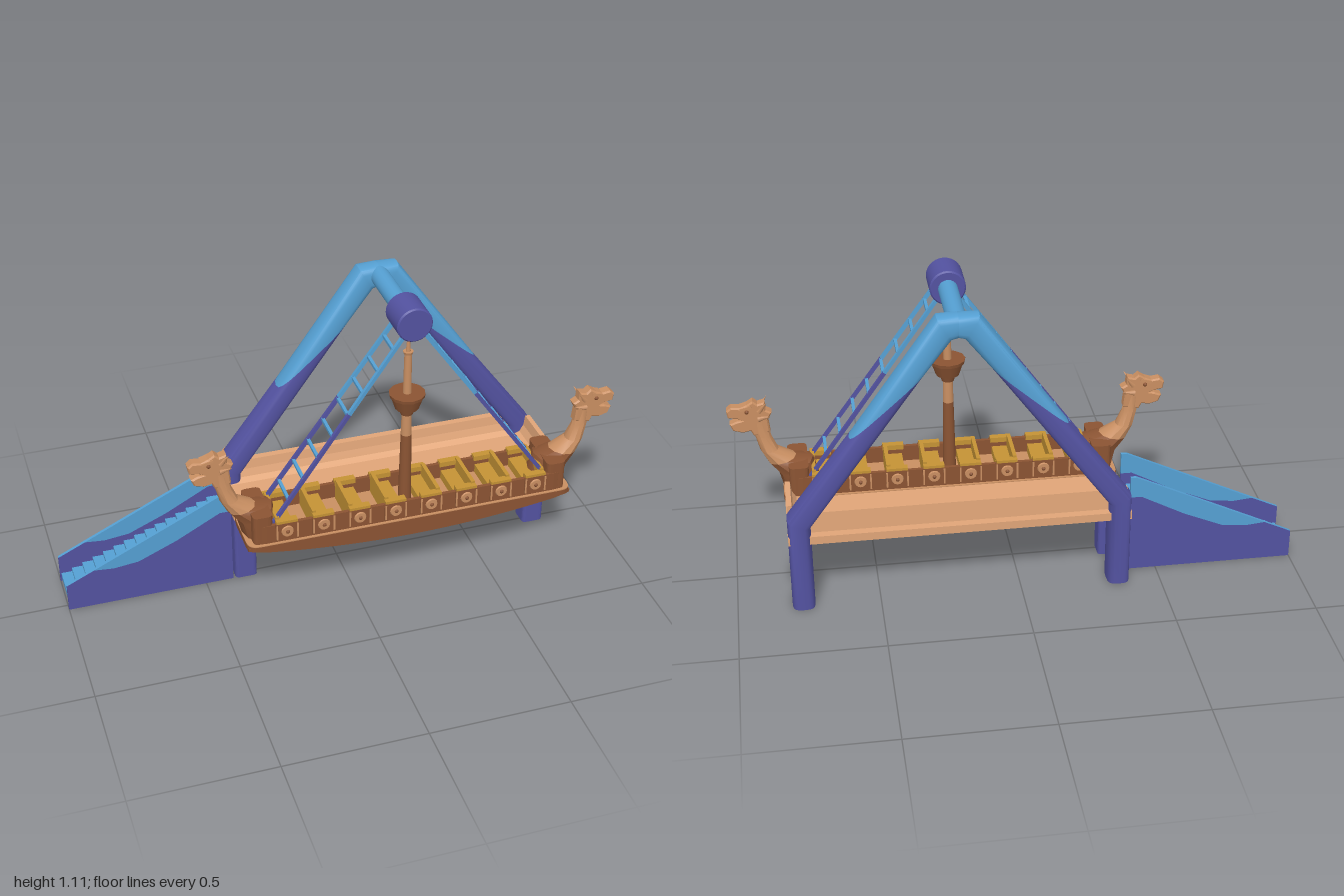
import * as THREE from 'three';
import { toCreasedNormals } from 'three/addons/utils/BufferGeometryUtils.js';

const mat = (name, color) => Object.assign(new THREE.MeshStandardMaterial({ color }), { name });

export function createModel() {
  const wood = mat('dark wood', 0x8b5433), tan = mat('tan wood', 0xc98f62), gold = mat('gold seats', 0xc59335);
  const boards = mat('pale boards', 0xe0a578), blue = mat('sky blue', 0x55a0d3), purple = mat('violet', 0x5352a0);
  const V = (x, y, z) => new THREE.Vector3(x, y, z);
  const root = new THREE.Group();
  root.name = 'swingingShipRide';

  const add = (parent, name, geo, material, x = 0, y = 0, z = 0) => {
    const m = new THREE.Mesh(geo, material);
    m.name = name;
    m.position.set(x, y, z);
    parent.add(m);
    return m;
  };
  const group = (parent, name, x = 0, y = 0, z = 0) => {
    const g = new THREE.Group();
    g.name = name;
    g.position.set(x, y, z);
    parent.add(g);
    return g;
  };
  // box given by its limits
  const box = (parent, name, material, x0, x1, y0, y1, z0, z1) =>
    add(parent, name, new THREE.BoxGeometry(x1 - x0, y1 - y0, z1 - z0), material, (x0 + x1) / 2, (y0 + y1) / 2, (z0 + z1) / 2);
  const poly = pts => new THREE.Shape(pts.map(p => new THREE.Vector2(p[0], p[1])));
  const extrude = (shape, depth, opts = {}) => new THREE.ExtrudeGeometry(shape, { depth, bevelEnabled: false, curveSegments: 5, ...opts });
  // straight beam between two points
  const beam = (parent, name, a, b, t, material) => {
    const m = add(parent, name, new THREE.BoxGeometry(t, a.distanceTo(b), t), material);
    m.position.copy(a).lerp(b, 0.5);
    m.quaternion.setFromUnitVectors(V(0, 1, 0), b.clone().sub(a).normalize());
    return m;
  };
  // capped skin through cross-section rings, wound outward
  const loft = (rings, crease = 0.6) => {
    const n = rings[0].length, tris = [];
    for (let r = 0; r < rings.length - 1; r++) for (let i = 0; i < n; i++) {
      const j = (i + 1) % n, a = rings[r], b = rings[r + 1];
      tris.push([a[i], a[j], b[j]], [a[i], b[j], b[i]]);
    }
    const first = rings[0], last = rings[rings.length - 1];
    for (let i = 1; i < n - 1; i++) tris.push([first[0], first[i + 1], first[i]], [last[0], last[i], last[i + 1]]);
    const volume = tris.reduce((s, t) => s + t[0].dot(t[1].clone().cross(t[2])), 0);
    if (volume < 0) tris.forEach(t => t.reverse());
    const g = new THREE.BufferGeometry().setFromPoints(tris.flat());
    return toCreasedNormals(g, crease);
  };
  // rounded rectangle as seen from above
  const plan = (hx, hz, r, Type = THREE.Shape) => {
    const s = new Type();
    s.moveTo(-hx + r, -hz);
    s.lineTo(hx - r, -hz); s.quadraticCurveTo(hx, -hz, hx, -hz + r);
    s.lineTo(hx, hz - r); s.quadraticCurveTo(hx, hz, hx - r, hz);
    s.lineTo(-hx + r, hz); s.quadraticCurveTo(-hx, hz, -hx, hz - r);
    s.lineTo(-hx, -hz + r); s.quadraticCurveTo(-hx, -hz, -hx + r, -hz);
    return s;
  };
  const slab = (shape, y0, y1) => extrude(shape, y1 - y0).rotateX(-Math.PI / 2).translate(0, y0, 0);

  // ---- A-frame: two bent legs, violet below a slanted edge and blue above
  const frame = group(root, 'supportFrame', 0.21, 0, -0.195);
  const ring = fn => Array.from({ length: 20 }, (_, i) => {
    const a = i / 20 * Math.PI * 2, soft = v => Math.sign(v) * Math.pow(Math.abs(v), 0.6);
    return fn(soft(Math.cos(a)), soft(Math.sin(a)));
  });
  const foot = ring((c, s) => V(0.56 + 0.04 * c, 0, 0.0525 * s));
  const bend = ring((c, s) => V(0.56 + 0.04 * c, 0.335 + 0.014 * c, 0.0525 * s));
  const edge = ring((c, s) => {
    const t = 0.62 - 0.2 * c;
    return V(0.56 - 0.513 * t + 0.0305 * c, 0.335 + 0.695 * t + 0.0226 * c, (0.0525 - 0.0125 * t) * s);
  });
  const shoulder = ring((c, s) => V(0.047 + 0.025 * c, 1.035 + 0.042 * c, 0.04 * s));
  const apex = ring((c, s) => V(0, 1.04 + 0.04 * c, 0.04 * s));
  for (const side of [0, 1]) {
    const leg = group(frame, side ? 'leftLeg' : 'rightLeg');
    leg.rotation.y = side * Math.PI;
    add(leg, 'lowerLeg', loft([foot, bend, edge]), purple);
    add(leg, 'upperLeg', loft([edge, shoulder, apex]), blue);
  }
  add(root, 'crossArm', new THREE.CylinderGeometry(0.034, 0.034, 0.29, 20).rotateX(Math.PI / 2), blue, 0.21, 1.045, -0.06);
  const drumProfile = [[0, -0.063], [0.058, -0.063], [0.063, -0.058], [0.063, 0.058], [0.058, 0.063], [0, 0.063]];
  add(root, 'pivotDrum', toCreasedNormals(new THREE.LatheGeometry(drumProfile.map(p => new THREE.Vector2(...p)), 28)
    .rotateX(Math.PI / 2), 0.5), purple, 0.21, 1.047, 0.14);

  // ---- boarding platform with back rail, end wall and front posts
  const platform = group(root, 'platform');
  box(platform, 'platformDeck', boards, -0.39, 0.81, 0.26, 0.29, -0.235, 0.03);
  add(platform, 'backRail', extrude(poly([[0.14, 0.29], [0.16, 0.303], [0.17, 0.33], [0.175, 0.365], [0.2, 0.365], [0.205, 0.29]]), 1.14)
    .rotateY(Math.PI / 2), boards, -0.38);
  add(platform, 'endWall', extrude(poly([[0.745, 0.29], [0.77, 0.3], [0.785, 0.325], [0.79, 0.365], [0.808, 0.365], [0.808, 0.29]]), 0.168),
    boards, 0, 0, -0.143);
  const post = plan(0.04, 0.04, 0.016);
  for (const x of [-0.35, 0.77]) add(platform, 'frontPost', slab(post, 0, 0.26), purple, x, 0, -0.01);

  // ---- entrance stairs between two painted side walls
  const ramp = group(root, 'entranceStairs');
  const line = [[-0.4, 0.3], [-0.44, 0.3], [-0.6, 0.215], [-0.74, 0.155], [-0.83, 0.145], [-0.9, 0.152], [-1, 0.105]];
  const lower = poly([[-1, 0], [-0.4, 0], ...line]);
  const upper = poly([...line, [-0.42, 0.38], [-0.4, 0.38]]);
  for (const z of [-0.157, 0.014]) {
    add(ramp, 'lowerSideWall', extrude(lower, 0.012), purple, 0, 0, z);
    add(ramp, 'upperSideWall', extrude(upper, 0.012), blue, 0, 0, z);
  }
  for (let i = 0; i < 15; i++) {
    const x = -0.995 + i * 0.039, y = 0.035 + i * 0.0157;
    box(ramp, 'step', blue, x, x + 0.041, y - 0.022, y, -0.146, 0.015);
  }
  box(ramp, 'stairEndPanel', purple, -0.408, -0.401, 0, 0.27, -0.146, 0.015);

  // ---- ship
  const ship = group(root, 'ship', 0.21, 0, 0.14);
  const hullRings = [];
  for (let i = 0; i <= 20; i++) {
    const u = -0.6 + i * 0.06, k = Math.abs(u) / 0.6, w = k > 0.95 ? 0.095 : 0.104, b = 0.213 + 0.05 * k * k;
    hullRings.push([V(u, 0.28, w), V(u, b + 0.006, w), V(u, b, w - 0.008), V(u, b, 0.008 - w), V(u, b + 0.006, -w), V(u, 0.28, -w)]);
  }
  add(ship, 'hull', loft(hullRings), wood);
  add(ship, 'hullRim', slab(plan(0.603, 0.106, 0.04), 0.268, 0.287), wood);
  add(ship, 'rimTop', slab(plan(0.602, 0.105, 0.04), 0.287, 0.29), tan);
  const bulwark = plan(0.58, 0.095, 0.045);
  bulwark.holes.push(plan(0.565, 0.082, 0.035, THREE.Path));
  add(ship, 'bulwark', slab(bulwark, 0.289, 0.362), wood);
  add(ship, 'deck', slab(plan(0.57, 0.088, 0.035), 0.289, 0.302), tan);

  // benches face the mast; framed shields decorate the sides
  for (let i = 0; i < 8; i++) {
    const x = (i - 3.5) * 0.132, d = Math.sign(x);
    const row = group(ship, 'seatRow', x);
    box(row, 'seat', gold, -0.032, 0.032, 0.3, 0.335, -0.08, 0.08);
    const back = d * 0.03;
    box(row, 'seatBack', gold, back - 0.007, back + 0.007, 0.3, 0.382, -0.08, 0.08);
    for (const s of [-1, 1]) {
      const z = s * 0.085;
      box(row, 'armrest', gold, -0.038, 0.038, 0.355, 0.374, z - 0.013, z + 0.013);
      box(row, 'shieldPanel', wood, -0.041, 0.041, 0.296, 0.364, s * 0.095 - 0.004, s * 0.095 + 0.004);
      for (const e of [-1, 1]) {
        box(row, 'panelEdge', tan, e * 0.037 - 0.003, e * 0.037 + 0.003, 0.3, 0.36, s * 0.099 - 0.002, s * 0.099 + 0.002);
      }
      const shield = new THREE.CylinderGeometry(0.02, 0.023, 0.006, 12).rotateX(s * Math.PI / 2);
      add(row, 'shield', shield, tan, 0, 0.332, s * 0.101);
      add(row, 'shieldBoss', new THREE.SphereGeometry(0.008, 8, 6), wood, 0, 0.332, s * 0.102);
    }
  }

  // prow and stern, each with a raised end block and a carved beast head
  const neckRing = (ou, oy, iu, iy, w) => Array.from({ length: 10 }, (_, i) => {
    const a = i / 10 * Math.PI * 2, t = (1 + Math.cos(a)) / 2;
    return V(iu + (ou - iu) * t, iy + (oy - iy) * t, w * Math.sin(a));
  });
  const neck = [
    neckRing(0.6, 0.287, 0.46, 0.29, 0.078), neckRing(0.615, 0.345, 0.49, 0.4, 0.066),
    neckRing(0.65, 0.39, 0.55, 0.41, 0.05), neckRing(0.675, 0.44, 0.61, 0.442, 0.037),
    neckRing(0.69, 0.5, 0.633, 0.495, 0.026), neckRing(0.7, 0.555, 0.643, 0.56, 0.022)];
  const headShape = poly([[0.64, 0.52], [0.645, 0.565], [0.632, 0.59], [0.65, 0.6], [0.652, 0.628], [0.675, 0.622], [0.69, 0.635],
    [0.71, 0.622], [0.735, 0.612], [0.765, 0.616], [0.778, 0.605], [0.774, 0.584], [0.745, 0.58], [0.722, 0.566],
    [0.748, 0.56], [0.768, 0.552], [0.76, 0.533], [0.73, 0.524], [0.7, 0.53], [0.69, 0.51]]);
  const headGeo = extrude(headShape, 0.03, { bevelEnabled: true, bevelSize: 0.005, bevelThickness: 0.006, bevelSegments: 1 });
  for (const side of [0, 1]) {
    const end = group(ship, side ? 'sternFigure' : 'prowFigure');
    end.rotation.y = side * Math.PI;
    add(end, 'endBlock', slab(plan(0.035, 0.093, 0.02), 0.29, 0.4), wood, 0.545);
    add(end, 'neckBase', loft(neck.slice(0, 3)), wood);
    add(end, 'neck', loft(neck.slice(2)), tan);
    add(end, 'head', headGeo, tan, 0, 0, -0.015);
    for (const s of [-1, 1]) {
      add(end, 'eye', new THREE.SphereGeometry(0.008, 8, 6), wood, 0.712, 0.602, s * 0.02);
      beam(end, 'brow', V(0.695, 0.622, s * 0.021), V(0.735, 0.61, s * 0.019), 0.009, tan);
      const horn = add(end, 'horn', new THREE.ConeGeometry(0.011, 0.05, 6), tan, 0.655, 0.618, s * 0.022);
      horn.rotation.set(s * 0.35, 0, 0.6);
      const ear = add(end, 'cheekSpike', new THREE.ConeGeometry(0.011, 0.045, 6), tan, 0.652, 0.575, s * 0.022);
      ear.rotation.set(s * 0.3, 0, 1.4);
    }
  }

  // mast with lookout basket
  const mast = group(ship, 'mast');
  const tube = (name, r1, r0, y0, y1, m, n = 14) => add(mast, name, new THREE.CylinderGeometry(r1, r0, y1 - y0, n), m, 0, (y0 + y1) / 2);
  tube('lowerMast', 0.019, 0.024, 0.295, 0.58, wood);
  tube('middleMast', 0.017, 0.019, 0.58, 0.7, tan);
  tube('basketCollar', 0.03, 0.022, 0.665, 0.69, wood);
  tube('basket', 0.059, 0.042, 0.69, 0.74, wood, 12);
  tube('basketRim', 0.064, 0.062, 0.738, 0.75, wood, 12);
  tube('upperMast', 0.013, 0.015, 0.74, 0.905, tan);
  tube('mastCap', 0.018, 0.015, 0.905, 0.915, tan);
  tube('mastTip', 0.004, 0.009, 0.915, 0.975, tan, 8);

  // ladder arms carrying the ship from the drum
  for (const side of [0, 1]) {
    const ladder = group(ship, side ? 'rightLadder' : 'leftLadder');
    ladder.rotation.y = side * Math.PI;
    const at = (y, s) => {
      const t = (1.01 - y) / 0.7;
      return V(0.035 + 0.5 * t, y, s * (0.052 + 0.016 * t));
    };
    for (const s of [-1, 1]) {
      beam(ladder, 'upperRail', at(1.01, s), at(0.74, s), 0.013, blue);
      beam(ladder, 'lowerRail', at(0.74, s), at(0.31, s), 0.013, purple);
    }
    for (let i = 0; i < 8; i++) beam(ladder, 'rung', at(0.96 - i * 0.075, -1), at(0.96 - i * 0.075, 1), 0.011, blue);
  }
  return root;
}
